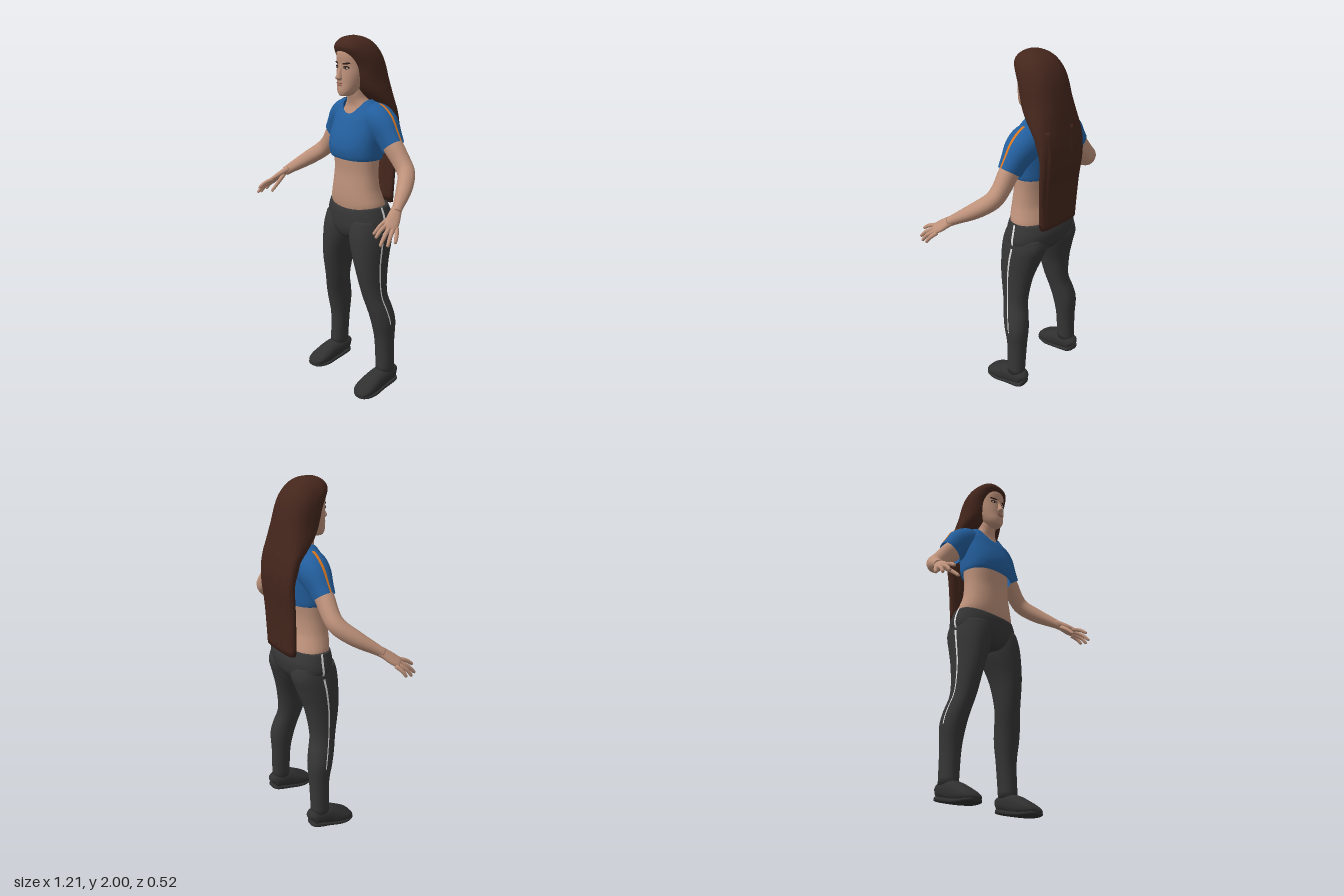
import * as THREE from 'three';

const mat = (name, color, double) => {
  const m = new THREE.MeshStandardMaterial({ color });
  m.name = name;
  if (double) m.side = THREE.DoubleSide;
  return m;
};
const V = (x, y, z) => new THREE.Vector3(x, y, z);

// Catmull-Rom subdivision of rows of numbers
function smooth(rows, k) {
  const out = [];
  for (let i = 0; i < rows.length - 1; i++) {
    const [a, b, c, d] = [rows[Math.max(0, i - 1)], rows[i], rows[i + 1], rows[Math.min(rows.length - 1, i + 2)]];
    for (let s = 0; s < k; s++) {
      const t = s / k;
      out.push(b.map((_, j) => b[j] + 0.5 * t * (c[j] - a[j] + t * (2 * a[j] - 5 * b[j] + 4 * c[j] - d[j] + t * (3 * (b[j] - c[j]) + d[j] - a[j])))));
    }
  }
  out.push(rows[rows.length - 1]);
  return out;
}

// Level rings from rows [y, centre x, half width, front z, back z, front drop]
const upright = (rows, k = 4) => smooth(rows.map(r => [...r, 0].slice(0, 6)), k).map(([y, x, w, f, b, drop]) => ({
  c: V(x, y, (f + b) / 2), u: V(Math.max(w, 0.001), 0, 0), v: V(0, 0, (f - b) / 2), drop }));

// Rings across a path from rows [x, y, z, radius u, radius v]
function along(rows, ref = V(0, 0, 1), k = 4) {
  const s = smooth(rows, k), p = s.map(r => V(r[0], r[1], r[2]));
  return s.map((r, i) => {
    const t = p[Math.min(i + 1, p.length - 1)].clone().sub(p[Math.max(i - 1, 0)]).normalize();
    const u = t.clone().cross(ref).normalize(), v = u.clone().cross(t);
    return { c: p[i], u: u.multiplyScalar(r[3]), v: v.multiplyScalar(r[4]), drop: 0 };
  });
}

// Skin over a list of rings; an angle range gives a narrow strip
function loft(rings, { n = 32, p = 2.2, range, grow = 0, open = false, ripple = 0 } = {}) {
  const pos = [], idx = [], [a0, a1] = range || [0, Math.PI * 2], m = range ? n + 1 : n;
  const pw = x => Math.sign(x) * Math.abs(x) ** (2 / p);
  rings.forEach(({ c, u, v, drop }, i) => {
    for (let j = 0; j < m; j++) {
      const a = a0 + (a1 - a0) * j / n;
      const wave = ripple * Math.min(1, 2 * i / rings.length) * (Math.sin(a * 13) + 0.6 * Math.sin(a * 7 + 1));
      const q = c.clone().addScaledVector(u, pw(Math.cos(a)) * (1 + grow / u.length()))
        .addScaledVector(v, pw(Math.sin(a)) * (1 + (grow + wave) / Math.max(v.length(), 0.02)));
      q.y -= drop * Math.max(0, Math.sin(a)) ** 2;
      pos.push(q.x, q.y, q.z);
    }
  });
  for (let i = 0; i < rings.length - 1; i++) for (let j = 0; j < n; j++) {
    const a = i * m + j, b = i * m + (j + 1) % m;
    idx.push(a, a + m, b, b, a + m, b + m);
  }
  if (!range && !open) [0, rings.length - 1].forEach((r, e) => {
    const c = pos.length / 3;
    pos.push(rings[r].c.x, rings[r].c.y, rings[r].c.z);
    for (let j = 0; j < n; j++) {
      const a = r * m + j, b = r * m + (j + 1) % m;
      idx.push(c, ...(e ? [b, a] : [a, b]));
    }
  });
  const g = new THREE.BufferGeometry();
  g.setAttribute('position', new THREE.Float32BufferAttribute(pos, 3));
  g.setIndex(idx);
  g.computeVertexNormals();
  return g;
}

// Mirror across x, keeping faces outward
function mirror(g) {
  const h = g.clone().scale(-1, 1, 1), ix = h.index.array;
  for (let i = 0; i < ix.length; i += 3) [ix[i], ix[i + 1]] = [ix[i + 1], ix[i]];
  h.computeVertexNormals();
  return h;
}

export function createModel() {
  const root = new THREE.Group();
  root.name = 'woman';
  const skin = mat('skin', 0xbd917a), hairM = mat('dark brown hair', 0x44261c), blue = mat('blue shirt', 0x235f9e, true);
  const pants = mat('charcoal leggings', 0x363637), shoeM = mat('black shoes', 0x303031), orange = mat('orange trim', 0xd8741c, true);
  const white = mat('white stripe', 0xdcdcdc, true), dark = mat('eye dark', 0x2a1a15), eyeM = mat('eye white', 0xcfc4bd), lipM = mat('lips', 0xa06c5e);
  const add = (name, g, m) => {
    const mesh = new THREE.Mesh(g, m);
    mesh.name = name;
    root.add(mesh);
  };
  const pair = (name, g, m) => { add(name + 'Left', g, m); add(name + 'Right', mirror(g), m); };

  // Bare waist, neck and head
  add('torso', loft(upright([[1.04, 0, 0.18, 0.035, -0.19], [1.1, 0, 0.186, 0.045, -0.18], [1.15, 0, 0.172, 0.047, -0.165],
    [1.2, 0, 0.158, 0.045, -0.152], [1.28, 0, 0.147, 0.04, -0.15], [1.36, 0, 0.147, 0.045, -0.16], [1.42, 0, 0.148, 0.045, -0.165], [1.5, 0, 0.135, 0.02, -0.16]])), skin);
  add('neck', loft(upright([[1.5, 0, 0.12, 0.015, -0.15], [1.58, 0, 0.115, 0, -0.15], [1.63, 0, 0.095, -0.015, -0.145],
    [1.665, 0, 0.066, -0.01, -0.14], [1.7, 0, 0.056, 0, -0.13], [1.78, 0, 0.055, 0.01, -0.13]])), skin);
  const face = [[1.69, 0, 0.018, 0.044, 0], [1.695, 0, 0.033, 0.054, -0.02], [1.72, 0, 0.053, 0.06, -0.05], [1.76, 0, 0.071, 0.058, -0.1],
    [1.8, 0, 0.082, 0.056, -0.12], [1.85, 0, 0.088, 0.052, -0.13], [1.9, 0, 0.086, 0.056, -0.13], [1.94, 0, 0.075, 0.046, -0.12], [1.97, 0, 0.05, 0.02, -0.1]];
  const headRings = upright(face);
  add('head', loft(headRings), skin);
  add('nose', loft(upright([[1.773, 0, 0.012, 0.066, 0.03], [1.785, 0, 0.018, 0.083, 0.03], [1.8, 0, 0.014, 0.079, 0.03],
    [1.83, 0, 0.009, 0.063, 0.03], [1.855, 0, 0.009, 0.053, 0.03]]), { n: 16 }), skin);

  // Facial details, thin ovals laid on the face
  const oval = (x, y, w, h, lift, roll = 0) => {
    const r = headRings.reduce((a, b) => Math.abs(b.c.y - y) < Math.abs(a.c.y - y) ? b : a);
    const zAt = q => r.c.z + r.v.z * Math.max(0, 1 - Math.abs(q / r.u.x) ** 2.2) ** (1 / 2.2);
    const yaw = Math.atan2(zAt(x - 0.005) - zAt(x + 0.005), 0.01);
    return new THREE.SphereGeometry(1, 16, 8).scale(w, h, 0.004).rotateZ(roll).rotateY(yaw).translate(x, y, zAt(x) + lift);
  };
  pair('eyeSocket', oval(0.039, 1.841, 0.02, 0.0085, 0), dark);
  pair('eyeWhite', oval(0.039, 1.839, 0.016, 0.0055, 0.0015), eyeM);
  pair('iris', oval(0.038, 1.839, 0.006, 0.006, 0.003), dark);
  pair('eyebrow', oval(0.041, 1.862, 0.025, 0.0045, 0.001, 0.12), dark);
  add('upperLip', oval(0, 1.7605, 0.026, 0.005, 0.002), lipM);
  add('lowerLip', oval(0, 1.75, 0.021, 0.006, 0.002), lipM);

  // Long straight hair, listed from the crown and reversed to run upward
  const hair = upright([[1.105, 0, 0.135, -0.172, -0.232], [1.3, 0, 0.147, -0.18, -0.238], [1.5, 0, 0.155, -0.185, -0.255],
    [1.6, 0, 0.156, -0.15, -0.248], [1.66, 0, 0.154, -0.09, -0.238], [1.72, 0, 0.146, -0.035, -0.228], [1.78, 0, 0.136, -0.005, -0.215],
    [1.85, 0, 0.13, 0.016, -0.197], [1.9, 0, 0.122, 0.04, -0.178], [1.94, 0, 0.107, 0.058, -0.153], [1.97, 0, 0.084, 0.047, -0.123],
    [1.99, 0, 0.052, 0.02, -0.085], [2, 0, 0.008, -0.015, -0.04]], 5);
  add('hair', loft(hair, { n: 96, p: 2.5 }), hairM);
  // Raised locks down the back
  const locks = upright([[1.09, 0, 0.132, -0.178, -0.232], [1.3, 0, 0.144, -0.18, -0.238], [1.5, 0, 0.152, -0.185, -0.255], [1.65, 0, 0.15, -0.1, -0.236]], 5);
  add('hairLocks', loft(locks, { n: 96, p: 2.8, ripple: 0.004 }), hairM);

  // Cropped shirt with V neck, short sleeves and trim
  add('shirt', loft(upright([[1.355, 0, 0.16, 0.06, -0.172], [1.375, 0, 0.166, 0.068, -0.175], [1.42, 0, 0.168, 0.073, -0.18], [1.48, 0, 0.17, 0.06, -0.185],
    [1.55, 0, 0.168, 0.036, -0.19, 0.01], [1.6, 0, 0.16, 0.022, -0.188, 0.03], [1.645, 0, 0.127, 0.012, -0.175, 0.06], [1.672, 0, 0.09, 0.004, -0.155, 0.078]]), { n: 48, p: 2.3, open: true }), blue);
  const sleeve = along([[0.08, 1.58, -0.095, 0.082, 0.075], [0.13, 1.565, -0.098, 0.088, 0.085], [0.178, 1.535, -0.1, 0.086, 0.078],
    [0.22, 1.487, -0.1, 0.076, 0.062], [0.253, 1.443, -0.1, 0.072, 0.052]]);
  pair('sleeve', loft(sleeve, { open: true }), blue);
  pair('sleeveStripe', loft(sleeve.slice(3), { range: [Math.PI - 0.07, Math.PI + 0.07], n: 4, grow: 0.003 }), orange);

  // Arms, palms and fingers
  pair('arm', loft(along([[0.2, 1.5, -0.1, 0.055, 0.046], [0.255, 1.443, -0.1, 0.058, 0.046], [0.32, 1.37, -0.105, 0.05, 0.044], [0.37, 1.32, -0.092, 0.047, 0.044],
    [0.43, 1.262, -0.025, 0.042, 0.04], [0.485, 1.205, 0.06, 0.03, 0.027], [0.505, 1.183, 0.09, 0.026, 0.023]])), skin);
  pair('palm', loft(along([[0.49, 1.2, 0.07, 0.02, 0.026], [0.508, 1.178, 0.1, 0.019, 0.031], [0.528, 1.152, 0.132, 0.017, 0.036],
    [0.545, 1.132, 0.16, 0.013, 0.033], [0.552, 1.124, 0.17, 0.006, 0.024]], V(0.55, -0.3, -0.8))), skin);
  const fingers = {
    thumb: [[0.498, 1.168, 0.105], [0.479, 1.13, 0.16], [0.475, 1.09, 0.205]],
    indexFinger: [[0.525, 1.143, 0.165], [0.537, 1.125, 0.215], [0.545, 1.1, 0.25]],
    middleFinger: [[0.54, 1.133, 0.162], [0.562, 1.1, 0.212], [0.572, 1.065, 0.245]],
    ringFinger: [[0.553, 1.125, 0.15], [0.578, 1.094, 0.19], [0.589, 1.06, 0.213]],
    littleFinger: [[0.558, 1.123, 0.132], [0.585, 1.098, 0.155], [0.597, 1.07, 0.172]],
  };
  for (const [name, [a, b, c]] of Object.entries(fingers)) {
    const tip = c.map((q, i) => q + (c[i] - b[i]) * 0.1);
    pair(name, loft(along([[...a, 0.012, 0.012], [...b, 0.0105, 0.0105], [...c, 0.008, 0.008], [...tip, 0.002, 0.002]], V(1, 0, 0), 3), { n: 12, p: 2 }), skin);
  }

  // Leggings with side stripes
  const hips = upright([[0.895, 0, 0.05, 0.02, -0.12], [0.92, 0, 0.14, 0.045, -0.17], [0.96, 0, 0.2, 0.058, -0.203],
    [1, 0, 0.219, 0.06, -0.215], [1.05, 0, 0.212, 0.058, -0.217], [1.1, 0, 0.195, 0.052, -0.2, 0.025]]);
  const leg = upright([[0.11, 0.222, 0.047, -0.042, -0.152], [0.3, 0.212, 0.054, -0.042, -0.155], [0.42, 0.207, 0.064, -0.02, -0.162], [0.5, 0.195, 0.064, 0, -0.15],
    [0.6, 0.172, 0.062, 0.025, -0.127], [0.75, 0.152, 0.074, 0.055, -0.145], [0.88, 0.126, 0.098, 0.064, -0.182], [0.96, 0.115, 0.103, 0.06, -0.206], [1.02, 0.108, 0.1, 0.045, -0.195]]);
  add('hips', loft(hips, { n: 48 }), pants);
  pair('leg', loft(leg), pants);
  const strip = { range: [-0.035, 0.035], n: 4, grow: 0.003 };
  pair('legStripe', loft(leg.slice(8, 29), strip), white);
  pair('hipStripe', loft(hips.slice(8), strip), white);

  // Shoes with soles, heel to toe
  const up = V(0, 1, 0);
  pair('shoe', loft(along([[0.22, 0.078, -0.166, 0.015, 0.02], [0.22, 0.085, -0.152, 0.042, 0.043], [0.221, 0.085, -0.1, 0.052, 0.05], [0.223, 0.07, -0.04, 0.055, 0.055],
    [0.225, 0.05, 0.02, 0.062, 0.044], [0.228, 0.034, 0.07, 0.06, 0.03], [0.23, 0.023, 0.1, 0.044, 0.018], [0.23, 0.017, 0.113, 0.015, 0.007]], up), { p: 2.4 }), shoeM);
  pair('sole', loft(along([[0.22, 0.053, -0.163, 0.03, 0.013], [0.221, 0.047, -0.14, 0.05, 0.014], [0.222, 0.026, -0.05, 0.055, 0.013], [0.225, 0.014, 0.02, 0.064, 0.012],
    [0.228, 0.012, 0.07, 0.06, 0.011], [0.23, 0.013, 0.1, 0.045, 0.01], [0.23, 0.014, 0.114, 0.02, 0.008]], up), { p: 3.5 }), shoeM);
  return root;
}
